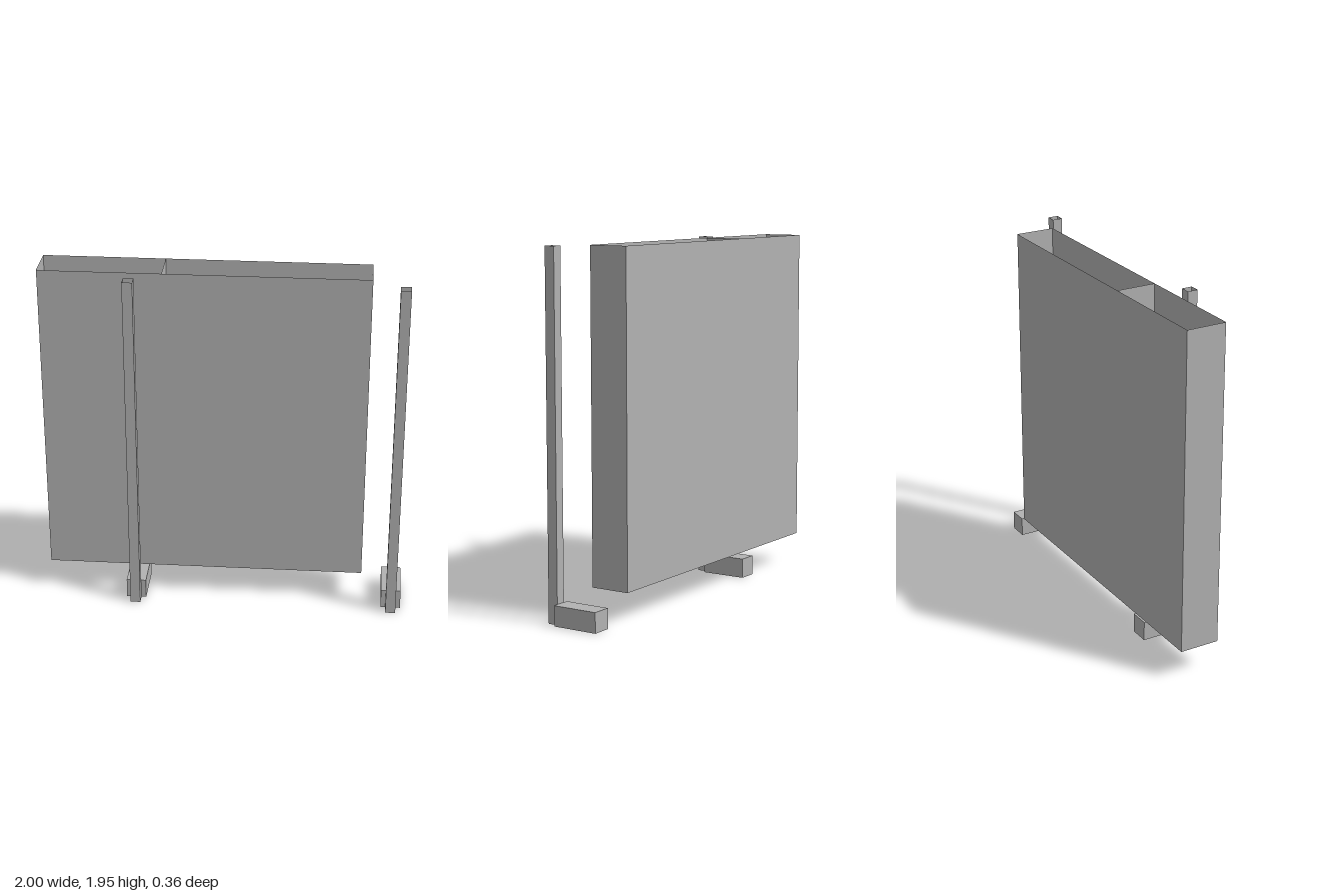
import * as THREE from 'three';

export function createModel() {
  const model = new THREE.Group();
  const grey = new THREE.MeshStandardMaterial({ color: 0xb2b2b2, side: THREE.DoubleSide });
  grey.name = 'plain grey';

  // Box between two corners; openTop leaves out the upper face
  function addBox(parent, name, [x0, y0, z0], [x1, y1, z1], openTop = false) {
    const geometry = new THREE.BoxGeometry(x1 - x0, y1 - y0, z1 - z0);
    if (openTop) {
      const index = Array.from(geometry.index.array);
      index.splice(12, 6); // third face is the top
      geometry.setIndex(index);
    }
    geometry.clearGroups();
    geometry.translate((x0 + x1) / 2, (y0 + y1) / 2, (z0 + z1) / 2);
    const mesh = new THREE.Mesh(geometry, grey);
    mesh.name = name;
    parent.add(mesh);
  }

  // Thin-walled case, open above, with an inner partition
  const bottom = 0.17, top = 1.95, back = -0.18, front = 0.042;
  const panel = new THREE.Group();
  panel.name = 'panelCase';
  addBox(panel, 'caseShell', [-1, bottom, back], [0.775, top, front], true);
  const partition = new THREE.Mesh(new THREE.PlaneGeometry(front - back, top - bottom), grey);
  partition.name = 'partition';
  partition.rotation.y = Math.PI / 2;
  partition.position.set(-0.335, (bottom + top) / 2, (back + front) / 2);
  panel.add(partition);
  model.add(panel);

  // Two stands: a hollow post in front of a solid foot
  [['rightStand', -0.5], ['leftStand', 0.945]].forEach(([name, x]) => {
    const stand = new THREE.Group();
    stand.name = name;
    addBox(stand, 'post', [-0.028, 0, 0.123], [0.028, top, 0.18], true);
    addBox(stand, 'foot', [-0.055, 0, -0.137], [0.055, 0.11, 0.123]);
    stand.position.x = x;
    model.add(stand);
  });

  return model;
}
